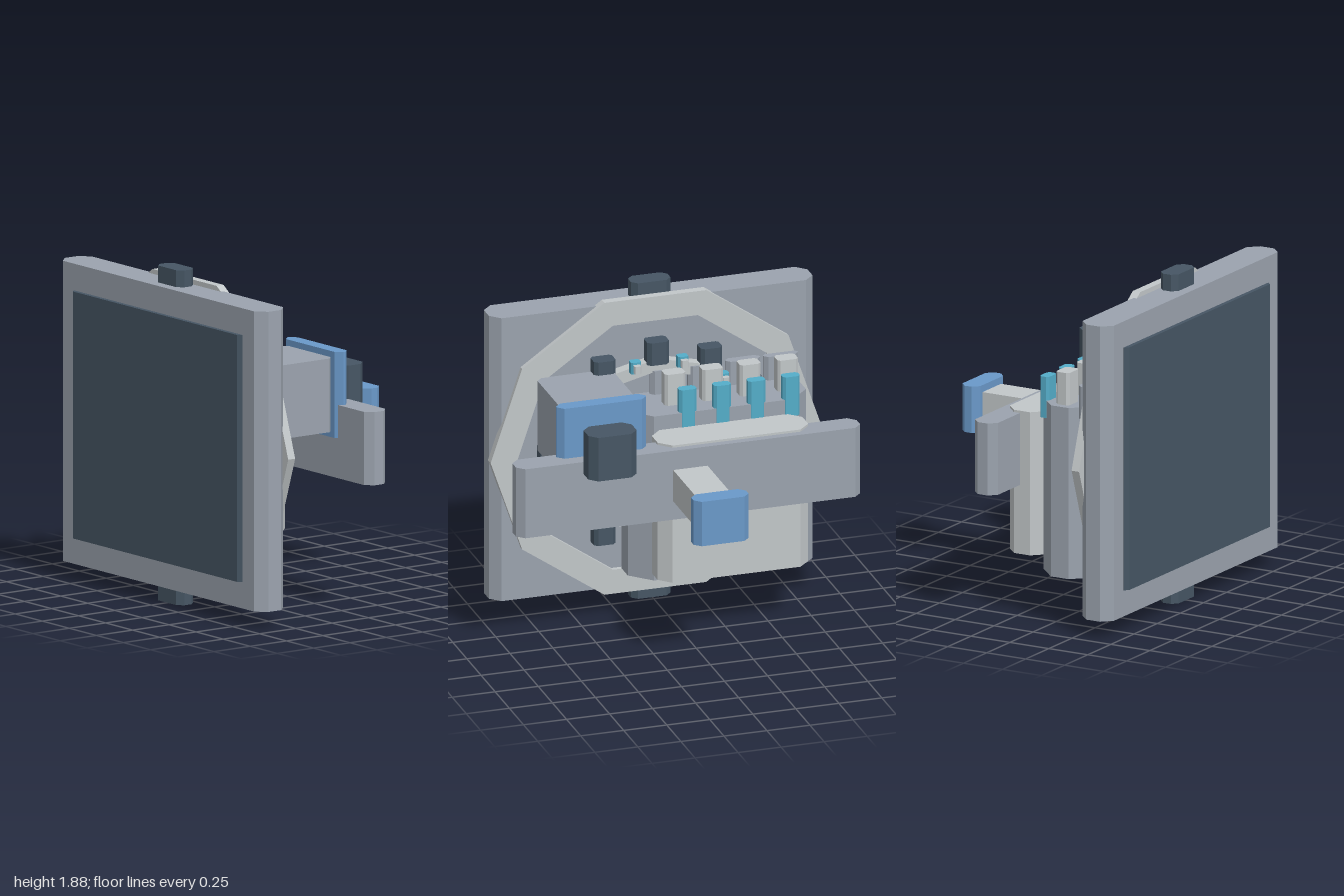
import * as THREE from 'three';

const mat = (name, color) => {
  const m = new THREE.MeshStandardMaterial({ color });
  m.name = name;
  return m;
};

export function createModel() {
  const model = new THREE.Group();
  const grey = mat('mid grey', 0x9ba3ae);
  const light = mat('light grey', 0xc2c7c9);
  const dark = mat('dark slate', 0x465664);
  const blue = mat('blue', 0x6a99c9);
  const teal = mat('teal', 0x54adc9);

  const add = (name, geometry, material) => {
    const mesh = new THREE.Mesh(geometry, material);
    mesh.name = name;
    model.add(mesh);
    return mesh;
  };

  // Upright block with chamfered vertical edges, given by its extents
  const block = (name, material, [x0, x1], [y0, y1], [z0, z1], c = 0) => {
    const w = (x1 - x0) / 2, d = (z1 - z0) / 2;
    let geo;
    if (c > 0) {
      const pts = [[w - c, -d], [w, c - d], [w, d - c], [w - c, d],
        [c - w, d], [-w, d - c], [-w, c - d], [c - w, -d]];
      const shape = new THREE.Shape(pts.map(p => new THREE.Vector2(...p)));
      geo = new THREE.ExtrudeGeometry(shape, { depth: y1 - y0, bevelEnabled: false });
      geo.rotateX(-Math.PI / 2);
      geo.translate(0, (y0 - y1) / 2, 0);
    } else {
      geo = new THREE.BoxGeometry(x1 - x0, y1 - y0, z1 - z0);
    }
    add(name, geo, material).position.set((x0 + x1) / 2, (y0 + y1) / 2, (z0 + z1) / 2);
  };
  const around = (v, h) => [v - h, v + h];

  // Flat polygonal ring facing z
  const ring = (name, material, sides, outer, inner, sy, z0, z1) => {
    const loop = r => Array.from({ length: sides }, (_, i) => {
      const a = i / sides * Math.PI * 2;
      return new THREE.Vector2(r * Math.cos(a), r * sy * Math.sin(a));
    });
    const shape = new THREE.Shape(loop(outer));
    shape.holes.push(new THREE.Path(loop(inner)));
    const geo = new THREE.ExtrudeGeometry(shape, { depth: z1 - z0, bevelEnabled: false });
    add(name, geo, material).position.set(0, 0.945, z0);
  };

  // Front panel, screen and clips
  block('frontPanel', grey, [-0.94, 0.94], [0.1, 1.79], [0.5, 0.7], 0.056);
  block('screen', dark, [-0.78, 0.78], [0.25, 1.64], [0.68, 0.725], 0.022);
  block('topClip', dark, [-0.115, 0.115], [1.7, 1.885], [0.525, 0.64], 0.032);
  block('bottomClip', dark, [-0.115, 0.115], [0, 0.18], [0.525, 0.64], 0.032);

  // Rings on the back of the panel
  ring('outerRing', light, 10, 0.957, 0.8, 0.958, 0.472, 0.52);
  ring('innerRing', light, 12, 0.56, 0.48, 0.92, 0.435, 0.505);

  // Circle of knobs, with small tipped pins between them
  for (let i = 0; i < 12; i++) {
    const a = i * Math.PI / 6, b = a + Math.PI / 12;
    const kx = 0.62 * Math.cos(a), ky = 0.945 + 0.555 * Math.sin(a);
    const px = 0.53 * Math.cos(b), py = 0.945 + 0.51 * Math.sin(b);
    block('knob', dark, around(kx, 0.063), around(ky, 0.067), [0.405, 0.505], 0.02);
    block('pin', teal, around(px, 0.03), around(py, 0.034), [0.388, 0.44], 0.01);
    block('pinTip', light, around(px, 0.02), around(py, 0.022), [0.358, 0.39], 0.006);
  }

  // Console and the lighter housing behind it
  block('console', grey, [-0.8, 0.235], [0.27, 1.25], [0.13, 0.475], 0.115);
  block('housing', light, [-0.72, 0.155], [0.345, 1.165], [-0.105, 0.13], 0.066);

  // Rows of keys on the console
  for (let i = 0; i < 4; i++) {
    const x = -0.7 + i * 0.218;
    block('lightKey', light, around(x, 0.06), [1.2, 1.435], [0.25, 0.335], 0.015);
    block('tealKey', teal, around(-0.68 + i * 0.2, 0.05), [1.15, 1.385], [0.127, 0.187], 0.015);
    block('backPlate', grey, around(-0.72 + i * 0.22, 0.1), [1.2, 1.39], [0.425, 0.48], 0.022);
  }

  // Side box with its cover and button
  block('sideBox', grey, [0.255, 0.695], [1.0, 1.415], [0.005, 0.475], 0.035);
  block('sideCover', blue, [0.22, 0.74], [0.965, 1.45], [-0.07, 0.012], 0.035);
  block('sideButton', dark, [0.34, 0.62], [1.08, 1.34], [-0.275, -0.1], 0.045);

  // Cross bar, arm and end cap
  block('crossBar', grey, [-1, 1], [0.74, 1.152], [-0.147, 0], 0.042);
  block('arm', light, [-0.1, 0.1], [0.85, 1.037], [-0.62, -0.1]);
  block('endCap', blue, [-0.16, 0.16], [0.812, 1.077], [-0.725, -0.61], 0.036);

  return model;
}
